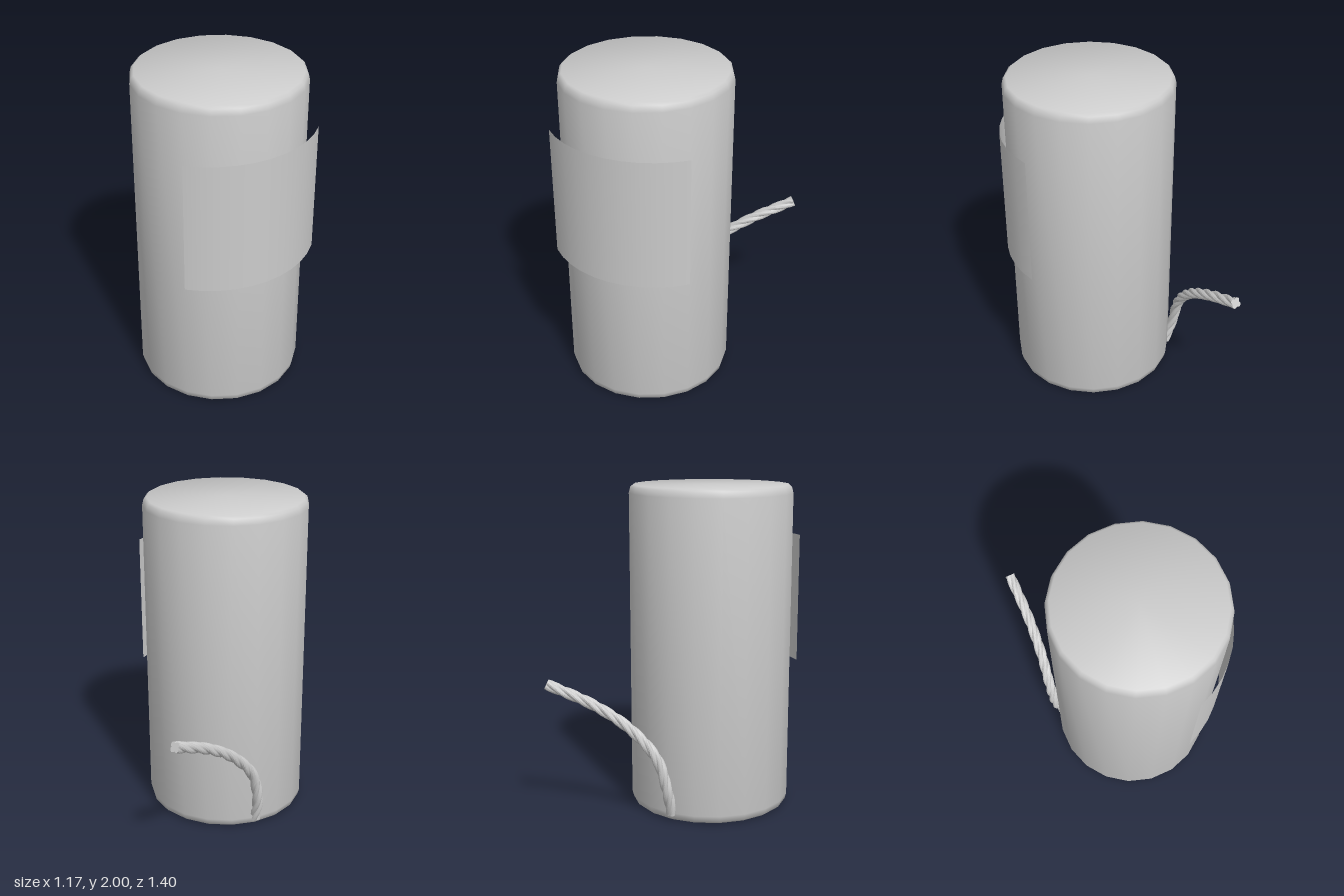
import * as THREE from 'three';
import { toCreasedNormals } from 'three/addons/utils/BufferGeometryUtils.js';

const grey = new THREE.MeshStandardMaterial({ color: 0xcccccc });
const greyDouble = new THREE.MeshStandardMaterial({ color: 0xcccccc, side: THREE.DoubleSide });
const CX = -0.085, CZ = 0.17;

function addMesh(group, name, geometry, material = grey) {
  const mesh = new THREE.Mesh(geometry, material);
  mesh.name = name;
  group.add(mesh);
  return mesh;
}

// Twisted rope: a lobed cross-section swept along a curve, turning as it goes
function ropeGeometry(curve, { rings = 72, lobes = 4, perLobe = 5, radius = 0.035, turns = 2.6 }) {
  const frames = curve.computeFrenetFrames(rings, false);
  const sides = lobes * perLobe;
  const positions = [], index = [];
  for (let i = 0; i <= rings; i++) {
    const t = i / rings;
    const centre = curve.getPointAt(t);
    const N = frames.normals[i], B = frames.binormals[i];
    for (let j = 0; j < sides; j++) {
      const a = (j / sides) * Math.PI * 2;
      const r = radius * (0.68 + 0.32 * Math.abs(Math.sin((a * lobes) / 2)));
      const w = a + t * turns * Math.PI * 2;
      const p = centre.clone().addScaledVector(N, r * Math.cos(w)).addScaledVector(B, r * Math.sin(w));
      positions.push(p.x, p.y, p.z);
      if (i < rings) {
        const k = (j + 1) % sides, lo = i * sides, hi = lo + sides;
        index.push(lo + j, lo + k, hi + k, lo + j, hi + k, hi + j);
      }
    }
  }
  // End caps
  for (const [t, ring, flip] of [[0, 0, true], [1, rings, false]]) {
    const c = positions.length / 3;
    positions.push(...curve.getPointAt(t).toArray());
    for (let j = 0; j < sides; j++) {
      const a = ring * sides + j, b = ring * sides + ((j + 1) % sides);
      index.push(c, ...(flip ? [b, a] : [a, b]));
    }
  }
  const g = new THREE.BufferGeometry();
  g.setAttribute('position', new THREE.Float32BufferAttribute(positions, 3));
  g.setIndex(index);
  return toCreasedNormals(g, 0.8);
}

export function createModel() {
  const group = new THREE.Group();
  group.name = 'fusedCanister';

  // Twenty-sided canister with softened rims
  const rim = [[0.475, 0], [0.491, 0.013], [0.5, 0.05]];
  const profile = [
    [0, 0], ...rim,
    ...rim.map(([r, y]) => [r, 2 - y]).reverse(), [0, 2],
  ].map(([r, y]) => new THREE.Vector2(r, y));
  const body = addMesh(group, 'canisterBody', toCreasedNormals(new THREE.LatheGeometry(profile, 20), 0.7));
  body.position.set(CX, 0, CZ);

  // Curved label sheet standing just off the front, flatter than the body
  const R = 0.634, half = 0.762;
  const label = addMesh(group, 'label',
    new THREE.CylinderGeometry(R, R, 0.8, 10, 1, true, -half, half * 2), greyDouble);
  label.position.set(CX, 1.28, 0.7 - R);

  // Fuse rising from the foot of the back and bending away
  const path = new THREE.CatmullRomCurve3([
    [-0.085, 0.04, -0.312], [-0.08, 0.2, -0.358], [-0.03, 0.4, -0.39],
    [0.12, 0.58, -0.445], [0.32, 0.725, -0.535], [0.565, 0.852, -0.667],
  ].map((p) => new THREE.Vector3(...p)));
  addMesh(group, 'fuse', ropeGeometry(path, {}));

  return group;
}
